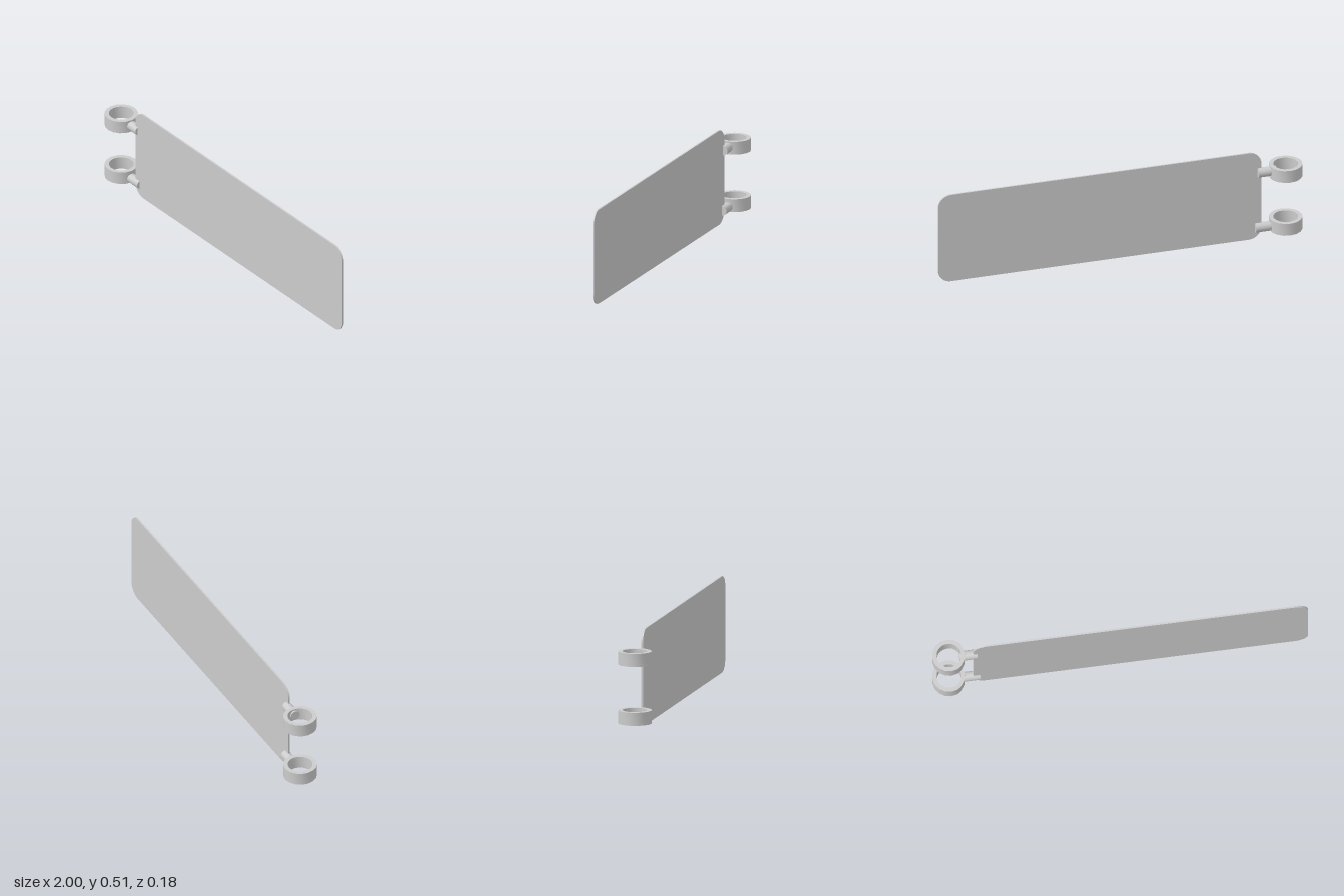
import * as THREE from 'three';
import { toCreasedNormals } from 'three/addons/utils/BufferGeometryUtils.js';

const material = new THREE.MeshStandardMaterial({ color: 0xcccccc });

function addPart(parent, name, geometry, x, y, z) {
  const mesh = new THREE.Mesh(geometry, material);
  mesh.name = name;
  mesh.position.set(x, y, z);
  parent.add(mesh);
  return mesh;
}

// Upright rounded rectangle with its lower left corner at the origin
function roundedRect(w, h, r) {
  const s = new THREE.Shape();
  s.absarc(w - r, r, r, -Math.PI / 2, 0);
  s.absarc(w - r, h - r, r, 0, Math.PI / 2);
  s.absarc(r, h - r, r, Math.PI / 2, Math.PI);
  s.absarc(r, r, r, Math.PI, Math.PI * 1.5);
  s.closePath();
  return s;
}

// Closed rectangular profile turned into a band
function ringGeometry(outer, inner, height) {
  const profile = [[outer, 0], [outer, height], [inner, height], [inner, 0], [outer, 0]]
    .map(([x, y]) => new THREE.Vector2(x, y));
  return toCreasedNormals(new THREE.LatheGeometry(profile, 16), 0.6);
}

export function createModel() {
  const model = new THREE.Group();

  // Thin sign panel
  const panel = new THREE.ExtrudeGeometry(roundedRect(1.778, 0.515, 0.07), {
    depth: 0.009, bevelEnabled: false, curveSegments: 8,
  });
  addPart(model, 'panel', toCreasedNormals(panel, 0.6), -0.778, 0, 0.001);

  // Two mounting collars, each with a pin that grips the panel edge
  const brackets = [
    { name: 'lowerBracket', ringY: 0.041, pinY: 0.067, pinEnd: -0.742 },
    { name: 'upperBracket', ringY: 0.356, pinY: 0.393, pinEnd: -0.757 },
  ];
  const pinLength = 0.1;
  for (const b of brackets) {
    const bracket = new THREE.Group();
    bracket.name = b.name;
    addPart(bracket, 'collar', ringGeometry(0.089, 0.066, 0.07), -0.911, b.ringY, 0);
    const pin = new THREE.CylinderGeometry(0.026, 0.026, pinLength, 24);
    addPart(bracket, 'pin', pin, b.pinEnd - pinLength / 2, b.pinY, 0).rotation.z = Math.PI / 2;
    model.add(bracket);
  }
  return model;
}
